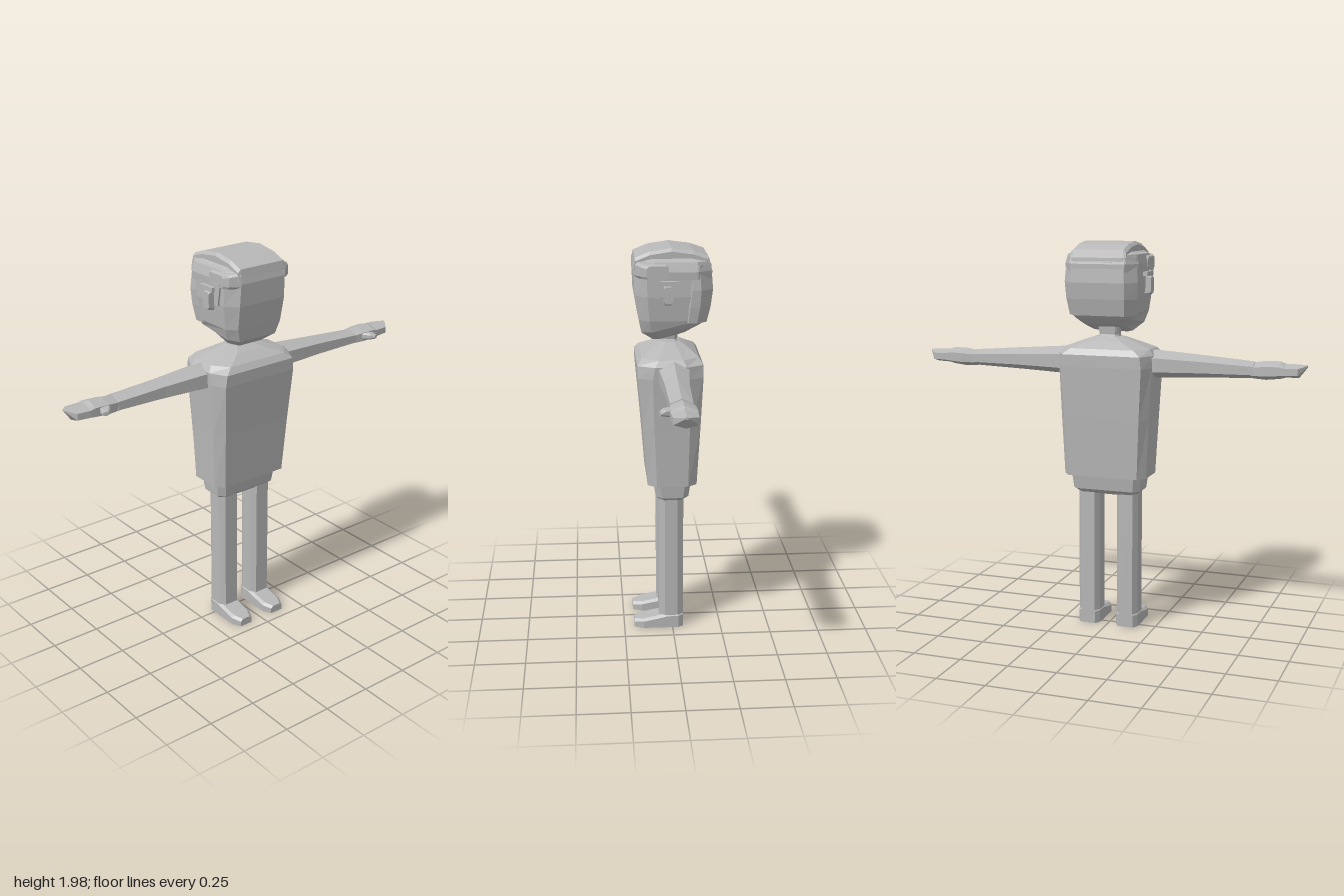
import * as THREE from 'three';

const clay = new THREE.MeshStandardMaterial({ color: 0xb8b8b8, flatShading: true });
clay.name = 'clay grey';

// Skins equal-length rings of [x, y, z] points, caps both ends, faces outward
function loft(rings) {
  const n = rings[0].length, p = [], idx = [];
  rings.forEach(r => r.forEach(v => p.push(...v)));
  for (let i = 0; i < rings.length - 1; i++) {
    for (let j = 0; j < n; j++) {
      const a = i * n + j, b = i * n + (j + 1) % n;
      idx.push(a, b, a + n, b, b + n, a + n);
    }
  }
  [0, rings.length - 1].forEach((ri, end) => {
    const c = p.length / 3;
    p.push(...[0, 1, 2].map(k => rings[ri].reduce((s, v) => s + v[k], 0) / n));
    for (let j = 0; j < n; j++) {
      const a = ri * n + j, b = ri * n + (j + 1) % n;
      if (end) idx.push(c, a, b); else idx.push(c, b, a);
    }
  });
  // a negative enclosed volume means the winding is inside out
  const at = i => new THREE.Vector3(p[3 * i], p[3 * i + 1], p[3 * i + 2]);
  let volume = 0;
  for (let i = 0; i < idx.length; i += 3) volume += at(idx[i]).dot(at(idx[i + 1]).cross(at(idx[i + 2])));
  if (volume < 0) for (let i = 0; i < idx.length; i += 3) [idx[i], idx[i + 1]] = [idx[i + 1], idx[i]];
  const g = new THREE.BufferGeometry();
  g.setAttribute('position', new THREE.Float32BufferAttribute(p, 3));
  g.setIndex(idx);
  const flat = g.toNonIndexed();
  flat.computeVertexNormals();
  return flat;
}

// Rectangle with cut corners as eight [u, v] pairs
function cutRect(u0, u1, v0, v1, cu, cv = cu) {
  return [[u0 + cu, v0], [u1 - cu, v0], [u1, v0 + cv], [u1, v1 - cv],
    [u1 - cu, v1], [u0 + cu, v1], [u0, v1 - cv], [u0, v0 + cv]];
}

// Upright body from rows of [y, halfWidth, back z, front z, cutX, cutZ, slope of y over z]
function upright(rows, cx = 0) {
  return loft(rows.map(([y, w, z0, z1, cu, cv, slope = 0]) =>
    cutRect(cx - w, cx + w, z0, z1, cu, cv).map(([x, z]) => [x, y + slope * z, z])));
}

// Limb along x from rows of [x, bottom y, top y, back z, front z], ridged above and below
function limb(rows, s) {
  return loft(rows.map(([x, y0, y1, z0, z1]) => {
    const h = y1 - y0, m = (z0 + z1) / 2;
    return [[y1, m], [y1 - h * 0.25, z1], [y0 + h * 0.25, z1], [y0, m], [y0 + h * 0.25, z0], [y1 - h * 0.25, z0]]
      .map(([y, z]) => [s * x, y, z]);
  }));
}

export function createModel() {
  const model = new THREE.Group();
  model.name = 'figure';
  const add = (name, geometry, x = 0, y = 0, z = 0) => {
    const mesh = new THREE.Mesh(geometry, clay);
    mesh.name = name;
    mesh.position.set(x, y, z);
    model.add(mesh);
    return mesh;
  };

  // Torso: a tapering shell with sloped shoulders
  add('torso', upright([
    [0.80, 0.2, -0.1, 0.11, 0.04, 0.04],
    [0.80, 0.217, -0.118, 0.127, 0.035, 0.045],
    [1.1, 0.231, -0.134, 0.15, 0.035, 0.055],
    [1.36, 0.245, -0.146, 0.173, 0.035, 0.07],
    [1.42, 0.248, -0.146, 0.175, 0.045, 0.085],
    [1.45, 0.225, -0.127, 0.152, 0.06, 0.08],
    [1.485, 0.13, -0.075, 0.095, 0.05, 0.05],
    [1.505, 0.07, -0.04, 0.05, 0.025, 0.025],
  ]));
  add('hips', upright([
    [0.70, 0.15, -0.05, 0.055, 0.02, 0.02],
    [0.725, 0.178, -0.08, 0.085, 0.03, 0.03],
    [0.82, 0.187, -0.093, 0.1, 0.03, 0.03],
  ]));
  add('neck', upright([
    [1.48, 0.065, -0.04, 0.045, 0.02, 0.015],
    [1.515, 0.05, -0.03, 0.037, 0.015, 0.015],
    [1.58, 0.06, -0.035, 0.042, 0.02, 0.015],
  ]));

  // Head with the jaw rising towards the nape
  add('head', upright([
    [1.545, 0.105, -0.1, 0.09, 0.04, 0.04, -0.28],
    [1.585, 0.148, -0.14, 0.15, 0.04, 0.05, -0.14],
    [1.63, 0.168, -0.165, 0.163, 0.04, 0.05],
    [1.75, 0.184, -0.18, 0.183, 0.05, 0.06],
    [1.86, 0.184, -0.182, 0.187, 0.055, 0.06],
    [1.915, 0.165, -0.165, 0.175, 0.04, 0.06],
    [1.935, 0.13, -0.13, 0.13, 0.04, 0.04],
  ]));

  // Hair: a raised strip over the crown, a band above the ears and a back shell
  const crown = [[0.188, 1.89], [0.18, 1.932], [0.11, 1.96], [0.005, 1.976], [-0.1, 1.962],
    [-0.172, 1.938], [-0.188, 1.88], [-0.1, 1.87], [0.1, 1.87]];
  add('crownHair', loft([-0.143, -0.128, 0.128, 0.143].map((x, i) =>
    crown.map(([z, y]) => [x, y - (i % 3 === 0 ? 0.015 : 0), z]))));
  add('hairBand', upright([
    [1.832, 0.188, -0.19, 0.16, 0.05, 0.07],
    [1.87, 0.19, -0.19, 0.165, 0.05, 0.07],
    [1.915, 0.176, -0.178, 0.15, 0.04, 0.06],
    [1.925, 0.14, -0.15, 0.12, 0.04, 0.04],
  ]));
  add('backHair', upright([
    [1.618, 0.17, -0.166, -0.025, 0.04, 0.05],
    [1.7, 0.183, -0.185, -0.028, 0.045, 0.055],
    [1.78, 0.189, -0.195, -0.032, 0.05, 0.06],
    [1.9, 0.18, -0.186, -0.032, 0.05, 0.06],
  ]));

  for (const s of [1, -1]) {
    const side = s > 0 ? 'left' : 'right';

    // Ears, sideburns and temple hair
    add(side + 'Ear', loft([0.17, 0.205, 0.214].map((x, i) =>
      cutRect(1.71 + i * 0.006, 1.815 - i * 0.006, 0.002, 0.046, 0.008).map(([y, z]) => [s * x, y, z]))));
    add(side + 'EarTop', new THREE.BoxGeometry(0.03, 0.022, 0.095), s * 0.192, 1.818, 0.015);
    add(side + 'Sideburn', loft([0.16, 0.193].map(x =>
      [[1.85, 0.105], [1.85, 0.055], [1.745, 0.066], [1.745, 0.088]].map(([y, z]) => [s * x, y, z]))));
    add(side + 'TempleHair', loft([0.13, 0.178, 0.192].map((x, i) =>
      cutRect(1.838, 1.915 - i * 0.008, 0.02, 0.188 - i * 0.03, 0.012).map(([y, z]) => [s * x, y, z]))));

    // Arm, wrist step and hand
    add(side + 'Arm', limb([
      [0.2, 1.3, 1.447, -0.075, 0.075],
      [0.26, 1.306, 1.444, -0.073, 0.072],
      [0.48, 1.316, 1.428, -0.055, 0.06],
      [0.745, 1.326, 1.407, -0.05, 0.056],
    ], s));
    add(side + 'Hand', limb([
      [0.735, 1.324, 1.402, -0.047, 0.052],
      [0.8, 1.32, 1.413, -0.056, 0.06],
      [0.87, 1.328, 1.413, -0.058, 0.062],
      [0.895, 1.335, 1.403, -0.058, 0.062],
      [0.962, 1.338, 1.402, -0.056, 0.056],
      [1.0, 1.388, 1.4, -0.008, 0.008],
    ], s));
    add(side + 'Thumb', loft([
      [0.775, 0.84, 0.04, 1.352, 1.388],
      [0.81, 0.85, 0.085, 1.356, 1.388],
      [0.83, 0.858, 0.11, 1.362, 1.38],
    ].map(([x0, x1, z, y0, y1]) => cutRect(x0, x1, y0, y1, 0.007).map(([x, y]) => [s * x, y, z])).map((r, i) =>
      r.map(([x, y, z]) => [x, y, z - (i > 0 ? (Math.abs(x) - 0.83) * 0.4 : 0)]))));

    // Leg and shoe
    add(side + 'Leg', upright([
      [0.07, 0.057, -0.055, 0.07, 0.02, 0.03],
      [0.73, 0.057, -0.055, 0.07, 0.02, 0.03],
    ], s * 0.103));
    add(side + 'Shoe', loft([
      [-0.056, 0.04, 0.076], [-0.03, 0.058, 0.076], [0.03, 0.058, 0.074],
      [0.075, 0.058, 0.063], [0.15, 0.058, 0.048], [0.198, 0.036, 0.04],
    ].map(([z, w, top]) => [[-w, 0], [w, 0], [w, top - 0.012], [w - 0.015, top], [-w + 0.015, top], [-w, top - 0.012]]
      .map(([x, y]) => [s * 0.103 + x, y, z]))));
  }
  return model;
}
